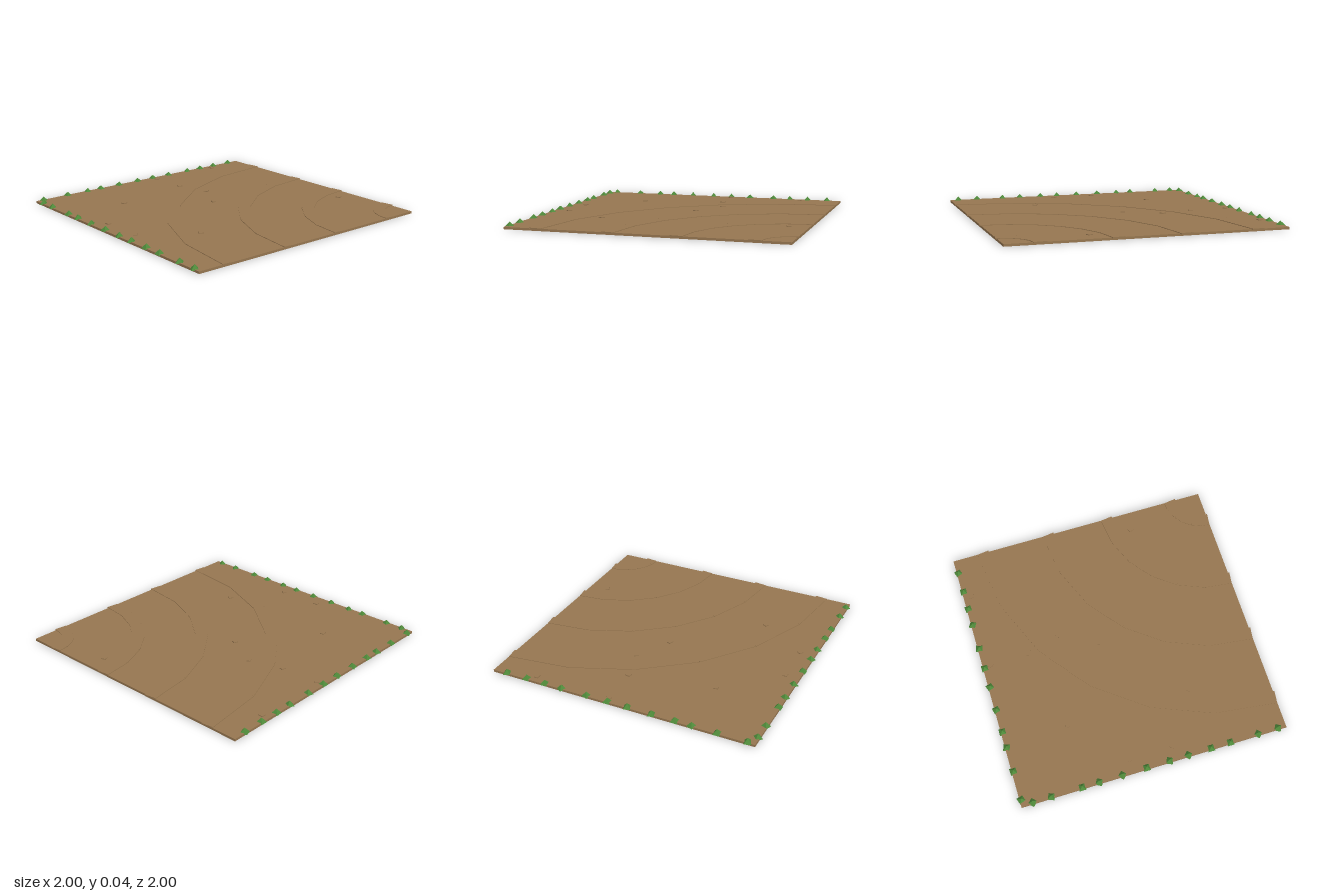
import * as THREE from 'three';

export function createModel() {
  const model = new THREE.Group();
  const dirt = new THREE.MeshStandardMaterial({ name: 'dirt', color: 0x967650, flatShading: true });
  const grass = new THREE.MeshStandardMaterial({ name: 'grass', color: 0x4f8a3a, flatShading: true });

  const add = (parent, name, geometry, material, x, y, z, turn = 0) => {
    const mesh = new THREE.Mesh(geometry, material);
    mesh.name = name;
    mesh.position.set(x, y, z);
    mesh.rotation.y = turn;
    parent.add(mesh);
    return mesh;
  };
  const addGroup = (name) => {
    const group = new THREE.Group();
    group.name = name;
    model.add(group);
    return group;
  };

  // Square ground slab, its back left corner being the centre of the bend
  const size = 1.965, top = 0.016, cornerX = 0.986, cornerZ = -0.99;
  add(model, 'groundSlab', new THREE.BoxGeometry(size, top, size), dirt,
    cornerX - size / 2, top / 2, cornerZ + size / 2);

  // Four wheel tracks round the bend, each of six straight strips
  const tracks = addGroup('wheelTracks');
  const step = Math.PI / 12;
  for (const radius of [0.233, 0.749, 1.216, 1.732]) {
    const length = 2 * radius * Math.sin(step / 2) + 0.008;
    const strip = new THREE.BoxGeometry(0.09, 0.008, length);
    const middle = radius * Math.cos(step / 2);
    for (let i = 0; i < 6; i++) {
      const angle = (i + 0.5) * step;
      add(tracks, 'trackStrip', strip, dirt,
        cornerX - middle * Math.cos(angle), top, cornerZ + middle * Math.sin(angle), angle);
    }
  }

  // Flat clods scattered on the ground
  const clods = addGroup('clods');
  const clod = new THREE.BoxGeometry(0.036, 0.012, 0.03);
  [[-0.92, -0.67], [-0.92, -0.1], [-0.63, -0.11], [-0.38, -0.18], [-0.12, -0.04],
    [0.39, -0.85], [0.41, 0.5], [-0.51, 0.5], [0.16, 0.865], [-0.16, 0.87]]
    .forEach(([x, z], i) => add(clods, 'clod', clod, dirt, x, top, z, i * 0.7));

  // Four-sided grass tufts along the front and right edges: [position, turn in degrees]
  const tufts = addGroup('grassTufts');
  const tuft = new THREE.ConeGeometry(0.036, 0.034, 4);
  const addTuft = (x, z, degrees) =>
    add(tufts, 'grassTuft', tuft, grass, x, 0.027, z, THREE.MathUtils.degToRad(degrees));
  [[-0.895, 0], [-0.76, 25], [-0.535, 45], [-0.41, 15], [-0.24, 0], [-0.06, 45],
    [0.11, 20], [0.25, 0], [0.42, 45], [0.565, 45], [0.775, 0], [0.925, 15]]
    .forEach(([x, degrees]) => addTuft(x, 0.96, degrees));
  [[-0.885, 65], [-0.725, 45], [-0.58, 50], [-0.445, 15], [-0.25, 30], [-0.09, 45],
    [0.06, 65], [0.24, 60], [0.41, 45], [0.53, 25], [0.71, 48], [0.92, 65]]
    .forEach(([z, degrees]) => addTuft(-0.965, z, degrees));

  return model;
}
